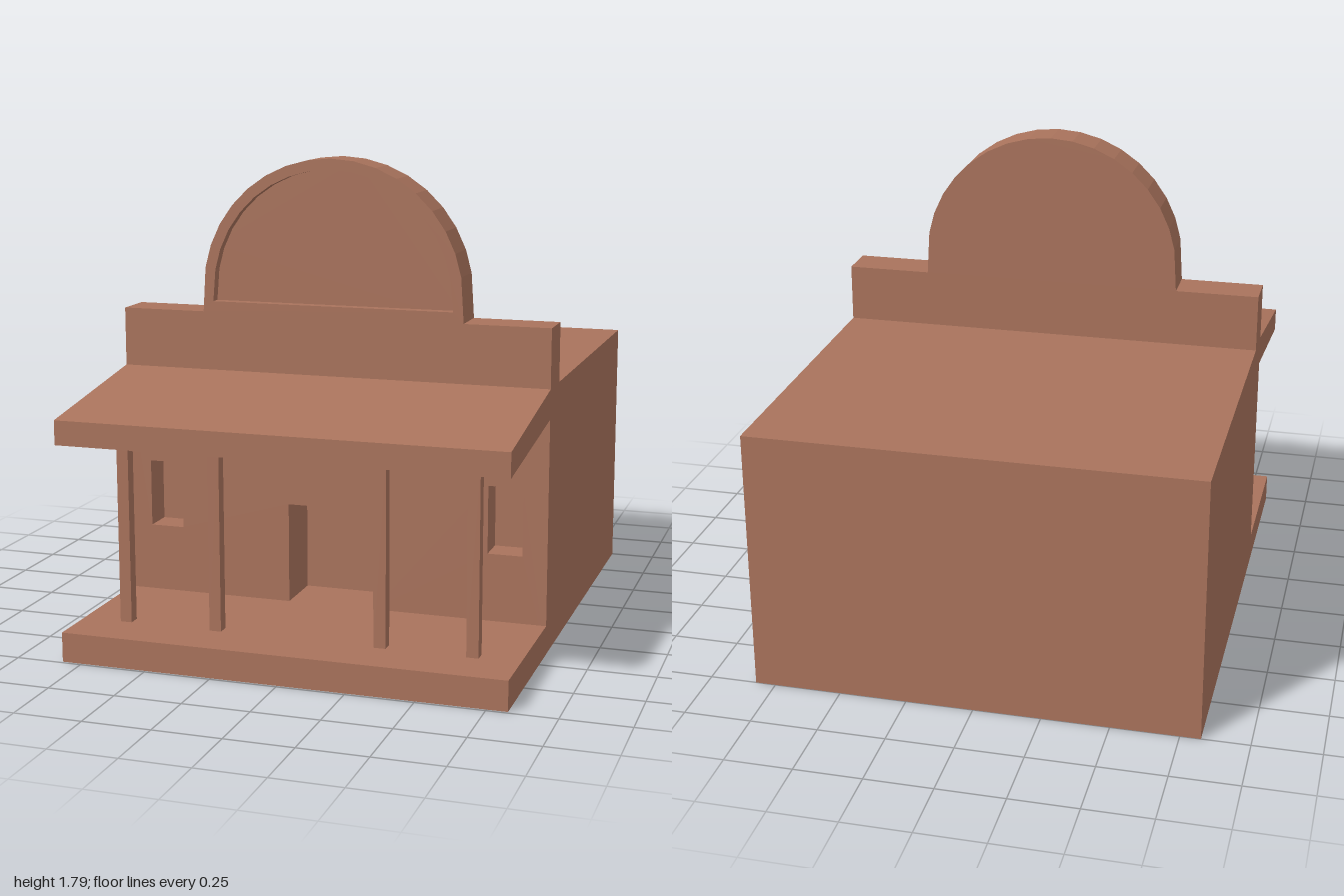
import * as THREE from 'three';

const W = 0.825;        // half width of the building
const FRONT = 0.39;     // z of the facade
const material = new THREE.MeshStandardMaterial({ color: 0xa9735c, flatShading: true });

function add(group, name, geometry) {
  const mesh = new THREE.Mesh(geometry, material);
  mesh.name = name;
  group.add(mesh);
  return mesh;
}

// Box given by its minimum and maximum corners
function box(group, name, [x0, y0, z0], [x1, y1, z1]) {
  const mesh = add(group, name, new THREE.BoxGeometry(x1 - x0, y1 - y0, z1 - z0));
  mesh.position.set((x0 + x1) / 2, (y0 + y1) / 2, (z0 + z1) / 2);
  return mesh;
}

// Shape in the x-y plane extruded from z0 to z1
function slab(group, name, shape, z0, z1) {
  const mesh = add(group, name, new THREE.ExtrudeGeometry(shape, { depth: z1 - z0, bevelEnabled: false }));
  mesh.position.z = z0;
  return mesh;
}

const points = (list) => list.map(([x, y]) => new THREE.Vector2(x, y));
const rect = (x0, y0, x1, y1) => points([[x0, y0], [x1, y0], [x1, y1], [x0, y1]]);

// Faceted round arch, running from right foot over the top to left foot
function arch(radius, footX, footY) {
  const list = [[footX, footY]];
  for (let a = 10; a <= 170; a += 10) {
    const t = THREE.MathUtils.degToRad(a);
    list.push([radius * Math.cos(t), 1.29 + radius * Math.sin(t)]);
  }
  list.push([-footX, footY]);
  return points(list);
}

// Stepped parapet outline with the arch in the middle
function parapetShape() {
  return new THREE.Shape([
    ...points([[-W, 0.99], [W, 0.99], [W, 1.21]]),
    ...arch(0.5, 0.503, 1.21),
    ...points([[-W, 1.21]]),
  ]);
}

export function createModel() {
  const model = new THREE.Group();
  model.name = 'building';

  // Main block and front wall with door and window openings
  const doorBack = 0.18, windowBack = 0.275;
  box(model, 'mainBlock', [-W, 0, -1], [W, 0.99, doorBack]);
  const wall = new THREE.Shape(rect(-W, 0, W, 0.99));
  wall.holes.push(new THREE.Path(rect(-0.17, 0.11, 0.163, 0.49)));
  for (const side of [-1, 1]) {
    const x0 = side * 0.667 - 0.065, x1 = x0 + 0.13;
    wall.holes.push(new THREE.Path(rect(x0, 0.365, x1, 0.62)));
    box(model, side > 0 ? 'leftWindowPane' : 'rightWindowPane', [x0, 0.365, doorBack], [x1, 0.62, windowBack]);
  }
  slab(model, 'frontWall', wall, doorBack, FRONT);

  // Parapet: solid backing plus a front layer with the shallow arched recess
  slab(model, 'parapetBack', parapetShape(), 0.24, 0.35);
  const face = parapetShape();
  face.holes.push(new THREE.Path(arch(0.46, 0.463, 1.25)));
  slab(model, 'parapetFront', face, 0.35, FRONT);

  // Porch floor
  box(model, 'porchFloor', [-W, 0, FRONT], [W, 0.11, 0.99]);

  // Sloping porch roof: side profile (-z, y) turned to run along x
  const profile = new THREE.Shape(points([[-1, 0.805], [-FRONT, 0.88], [-FRONT, 0.99], [-1, 0.895]]));
  const roof = slab(model, 'porchRoof', profile, 0, 2 * W);
  roof.rotation.y = Math.PI / 2;
  roof.position.x = -W;

  // Porch posts
  for (const x of [-0.656, -0.304, 0.318, 0.654]) {
    box(model, 'porchPost', [x - 0.022, 0.11, 0.763], [x + 0.022, 0.805, 0.807]);
  }
  return model;
}
